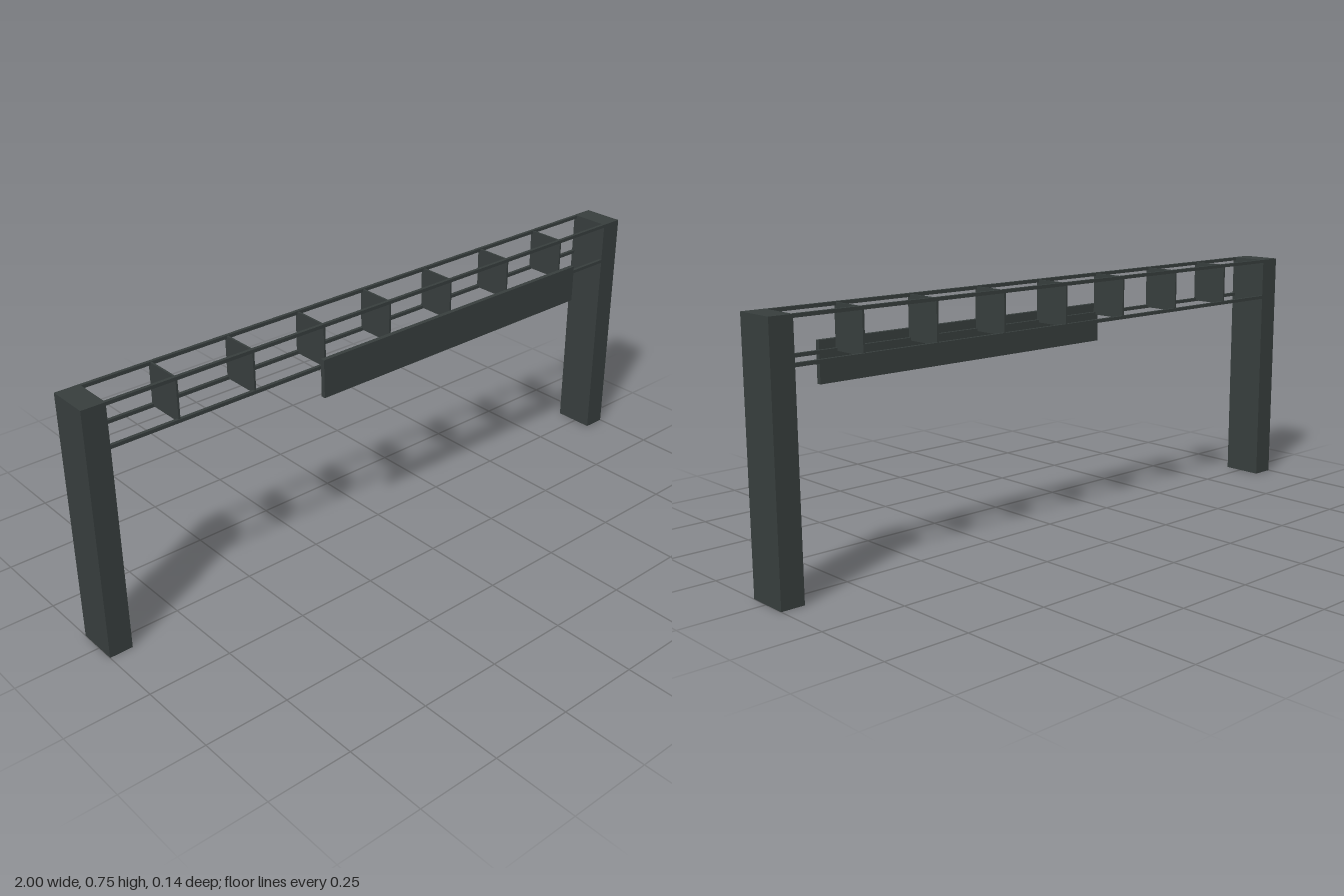
import * as THREE from 'three';

export function createModel() {
  const group = new THREE.Group();
  group.name = 'gantry';
  const steel = new THREE.MeshStandardMaterial({ color: 0x373e3d, side: THREE.DoubleSide });
  steel.name = 'dark steel';

  // Box given by its minimum and maximum corners
  const box = (name, [x0, y0, z0], [x1, y1, z1], openBottom = false) => {
    const geo = new THREE.BoxGeometry(x1 - x0, y1 - y0, z1 - z0);
    if (openBottom) {
      // Drop the -y face (indices 18 to 23)
      const index = Array.from(geo.index.array);
      index.splice(18, 6);
      geo.setIndex(index);
      geo.clearGroups();
    }
    const mesh = new THREE.Mesh(geo, steel);
    mesh.name = name;
    mesh.position.set((x0 + x1) / 2, (y0 + y1) / 2, (z0 + z1) / 2);
    group.add(mesh);
  };

  const top = 0.747, low = 0.615, back = -0.071, front = 0.056, t = 0.01;

  // Hollow columns, open underneath
  box('rightColumn', [-1, 0, back], [-0.93, top, front], true);
  box('leftColumn', [0.93, 0, back], [1, top, front], true);

  // Four long rails between the columns
  for (const y of [low, top - t])
    for (const z of [back, front - t])
      box('rail', [-0.93, y, z], [0.93, y + t, z + t]);

  // Seven cross plates joining the rails
  for (let i = 0; i < 7; i++) {
    const x = -0.725 + i * 0.241;
    box('crossPlate', [x - 0.003, low + 0.002, back + 0.002], [x + 0.003, top - 0.002, front - 0.002]);
  }

  // Sign board in front of the rails
  box('signBoard', [-0.262, 0.532, 0.059], [0.772, 0.649, 0.073]);

  return group;
}
